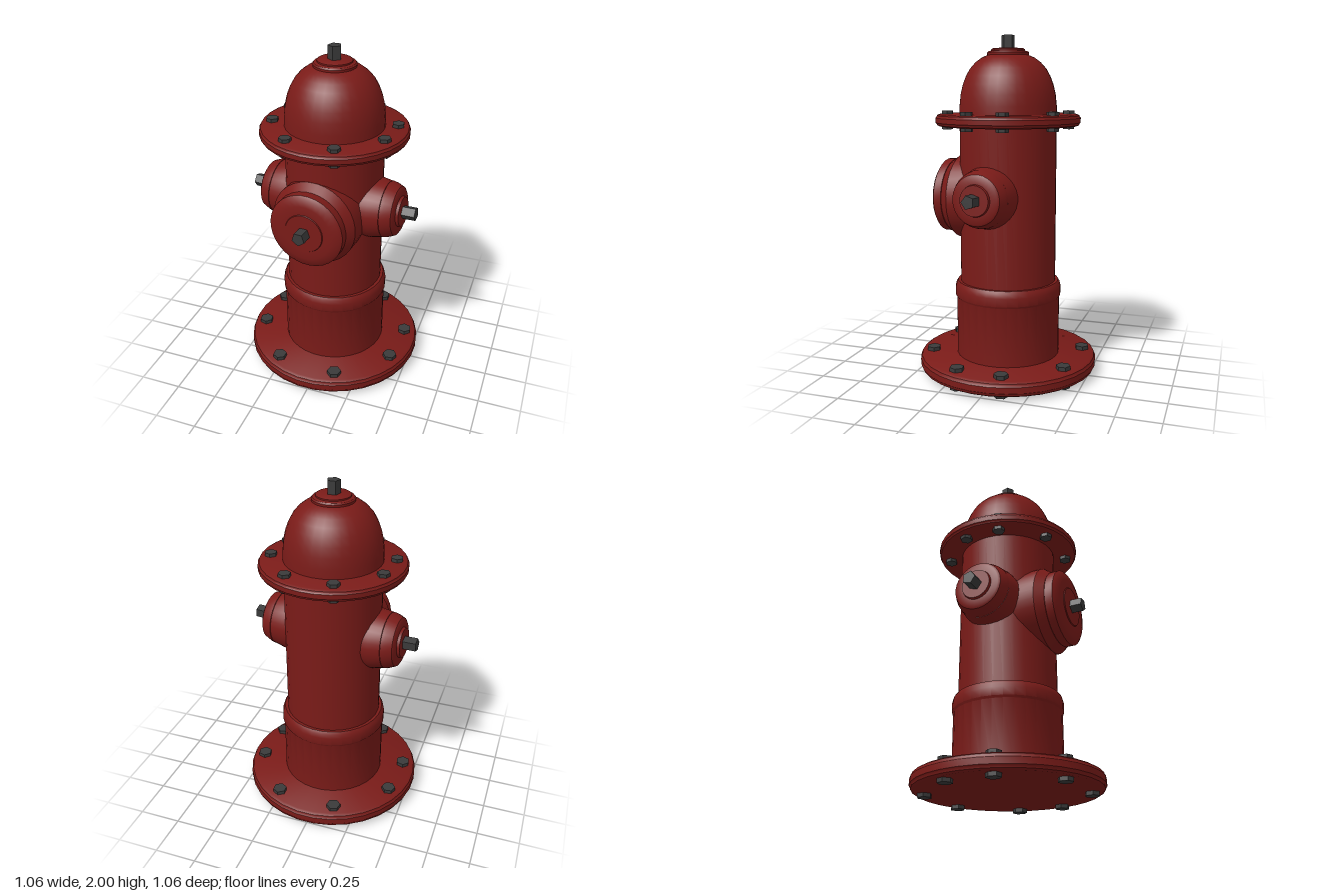
import * as THREE from 'three';
import { toCreasedNormals } from 'three/addons/utils/BufferGeometryUtils.js';

const red = new THREE.MeshStandardMaterial({ color: 0x7a1b18 });
const iron = new THREE.MeshStandardMaterial({ color: 0x3a3a3a });
const deg = THREE.MathUtils.degToRad;

// Turned part: profile of [radius, height] pairs from bottom to top
function turned(name, profile, segments = 32) {
  const points = profile.map(([r, y]) => new THREE.Vector2(r, y));
  const geometry = new THREE.LatheGeometry(points, segments, Math.PI / segments);
  const mesh = new THREE.Mesh(toCreasedNormals(geometry, 0.6), red);
  mesh.name = name;
  return mesh;
}

// Straight bolt with flat sides, standing between two heights
function bolt(name, radius, bottom, top, sides) {
  const geometry = new THREE.CylinderGeometry(radius, radius, top - bottom, sides);
  const mesh = new THREE.Mesh(toCreasedNormals(geometry, 0.6), iron);
  mesh.name = name;
  mesh.position.y = (bottom + top) / 2;
  return mesh;
}

// Flange with a rounded, stepped rim
function flange(name, r, bottom, top) {
  const h = top - bottom;
  return turned(name, [
    [0, bottom], [r - 0.022, bottom], [r - 0.008, bottom + h * 0.1], [r - 0.006, bottom + h * 0.22],
    [r, bottom + h * 0.3], [r, bottom + h * 0.7],
    [r - 0.006, bottom + h * 0.78], [r - 0.008, bottom + h * 0.9], [r - 0.022, top], [0, top],
  ]);
}

// Slightly uneven ring of bolts through a flange
function boltRing(name, ringRadius, radius, bottom, top) {
  const ring = new THREE.Group();
  ring.name = name;
  for (const angle of [-13, 22, 71, 119, 167, 202, 251, 298]) {
    const b = bolt('flangeBolt', radius, bottom, top, 6);
    b.position.x = Math.cos(deg(angle)) * ringRadius;
    b.position.z = Math.sin(deg(angle)) * ringRadius;
    b.rotation.y = deg(-angle);
    ring.add(b);
  }
  return ring;
}

// Hose outlet built along +y: flared neck, cap, and a five-sided nut
function outlet(name, neck, cap, nutBase, nutEnd) {
  const group = new THREE.Group();
  group.name = name;
  group.add(turned('outletNeck', neck), turned('outletCap', cap));
  group.add(bolt('outletNut', 0.04, nutBase, nutEnd, 5));
  return group;
}

export function createModel() {
  const model = new THREE.Group();
  model.name = 'hydrant';

  // Foot and top flanges with their bolts
  model.add(flange('baseFlange', 0.535, 0.022, 0.11));
  model.add(boltRing('baseBolts', 0.455, 0.042, 0, 0.133));
  model.add(flange('upperFlange', 0.425, 1.482, 1.55));
  model.add(boltRing('upperBolts', 0.355, 0.036, 1.462, 1.57));

  // Barrel with its lower sleeve and collar
  model.add(turned('lowerSleeve', [
    [0.31, 0.1], [0.31, 0.46], [0.318, 0.472], [0.318, 0.52],
    [0.312, 0.545], [0.302, 0.56], [0.28, 0.56],
  ]));
  model.add(turned('barrel', [[0.285, 0.5], [0.285, 1.5]]));

  // Domed bonnet, stepped cap and operating nut
  model.add(turned('bonnet', [
    [0.285, 1.54], [0.284, 1.6], [0.277, 1.665], [0.264, 1.72], [0.246, 1.767],
    [0.222, 1.81], [0.19, 1.846], [0.155, 1.872], [0.12, 1.887], [0, 1.895],
  ]));
  model.add(turned('bonnetCap', [
    [0.12, 1.88], [0.122, 1.9], [0.115, 1.908], [0.098, 1.912],
    [0.098, 1.92], [0.09, 1.925], [0, 1.925],
  ]));
  model.add(bolt('operatingNut', 0.039, 1.91, 2, 5));

  // Outlets, all turned a little about the barrel
  const outlets = new THREE.Group();
  outlets.name = 'outlets';
  outlets.rotation.y = deg(-5);
  model.add(outlets);

  const front = outlet('frontOutlet',
    [[0.255, 0.1], [0.255, 0.285], [0.22, 0.335], [0.2, 0.335]],
    [[0.2, 0.335], [0.222, 0.338], [0.222, 0.385], [0.205, 0.398], [0.165, 0.41],
      [0.115, 0.41], [0.112, 0.415], [0, 0.415]],
    0.4, 0.482);
  front.rotation.x = Math.PI / 2;
  front.position.y = 1.055;
  outlets.add(front);

  for (const side of [1, -1]) {
    const o = outlet(side > 0 ? 'leftOutlet' : 'rightOutlet',
      [[0.178, 0.1], [0.178, 0.275], [0.164, 0.345], [0.155, 0.345]],
      [[0.155, 0.345], [0.165, 0.348], [0.16, 0.37], [0.143, 0.41], [0.13, 0.418],
        [0.09, 0.42], [0.086, 0.436], [0, 0.436]],
      0.42, 0.513);
    o.rotation.z = -side * deg(88);
    o.position.set(0, 1.078, 0.018);
    outlets.add(o);
  }
  return model;
}
